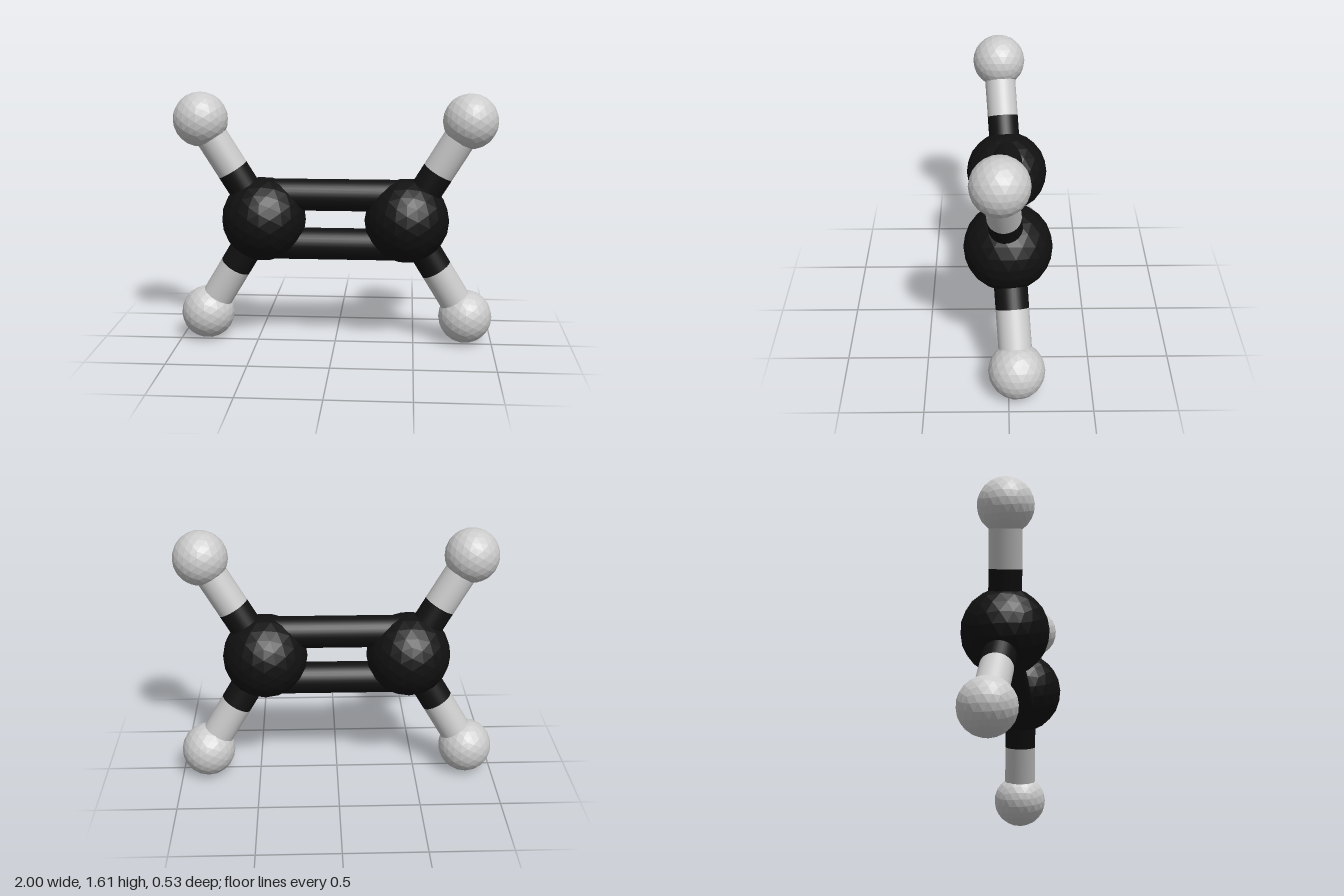
import * as THREE from 'three';

const dark = new THREE.MeshStandardMaterial({ color: 0x111111 });
const darkFaceted = new THREE.MeshStandardMaterial({ color: 0x111111, flatShading: true });
const pale = new THREE.MeshStandardMaterial({ color: 0xcccccc });
const paleFaceted = new THREE.MeshStandardMaterial({ color: 0xcccccc, flatShading: true });

const BOND_RADIUS = 0.1;
const UP = new THREE.Vector3(0, 1, 0);

// Faceted ball
function ball(name, radius, centre, material) {
  const mesh = new THREE.Mesh(new THREE.IcosahedronGeometry(radius, 3), material);
  mesh.name = name;
  mesh.position.copy(centre);
  return mesh;
}

// Round rod between two points
function rod(name, from, to, material) {
  const axis = to.clone().sub(from);
  const mesh = new THREE.Mesh(
    new THREE.CylinderGeometry(BOND_RADIUS, BOND_RADIUS, axis.length(), 32), material);
  mesh.name = name;
  mesh.position.copy(from).lerp(to, 0.5);
  mesh.quaternion.setFromUnitVectors(UP, axis.normalize());
  return mesh;
}

export function createModel() {
  const model = new THREE.Group();
  model.name = 'moleculeModel';
  const midY = 0.805;

  // Two parallel rods of the double bond
  for (const [name, dy] of [['upperDoubleBond', 0.157], ['lowerDoubleBond', -0.157]]) {
    model.add(rod(name,
      new THREE.Vector3(-0.45, midY + dy, 0), new THREE.Vector3(0.45, midY + dy, 0), dark));
  }

  for (const [side, sx] of [['left', 1], ['right', -1]]) {
    // Large dark atom
    const carbon = new THREE.Vector3(sx * 0.45, midY, 0);
    model.add(ball(side + 'CarbonAtom', 0.265, carbon, darkFaceted));

    // Upper and lower small atoms, each on a two-tone rod
    for (const [level, sy] of [['Upper', 1], ['Lower', -1]]) {
      const hydrogen = new THREE.Vector3(sx * 0.83, midY + sy * 0.633, sy * 0.048);
      const middle = carbon.clone().lerp(hydrogen, 0.5);
      model.add(
        ball(side + level + 'HydrogenAtom', 0.17, hydrogen, paleFaceted),
        rod(side + level + 'BondInnerHalf', carbon, middle, dark),
        rod(side + level + 'BondOuterHalf', middle, hydrogen, pale));
    }
  }
  return model;
}
